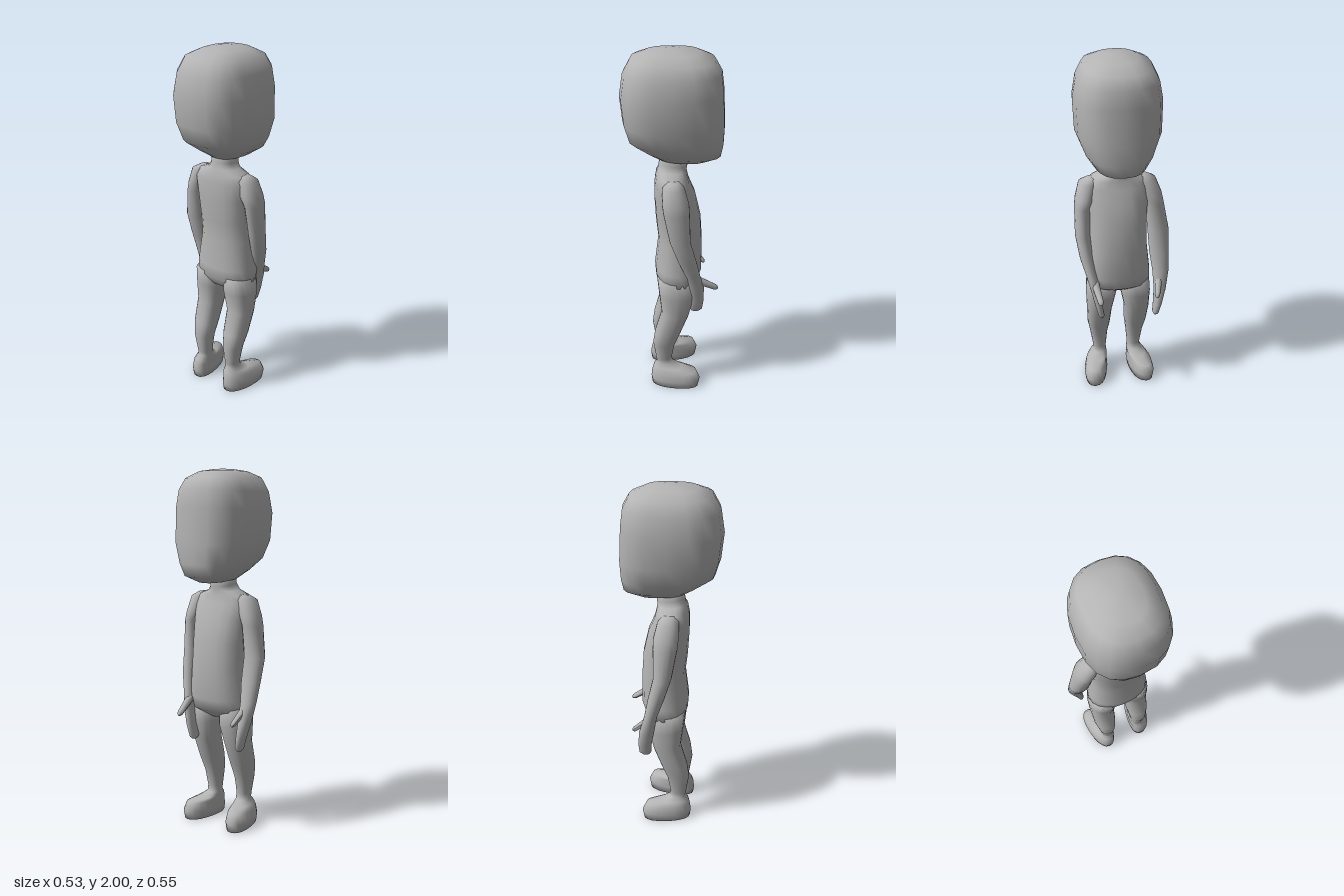
import * as THREE from 'three';

const SIDES = 20;
const CENTRE_X = 0.022;

// Loft through oval rings listed from top to bottom.
// Ring: [centre x, half width, +z edge z, its y, -z edge z, its y, sideways skew per z]
function loft(rings, n = 2.3, side = 1) {
  const pos = [], index = [];
  const bend = v => Math.sign(v) * Math.abs(v) ** (2 / n);
  for (const [cx, hw, zb, yb, zf, yf, skew = 0] of rings) {
    for (let j = 0; j < SIDES; j++) {
      const t = (j / SIDES) * Math.PI * 2;
      const s = bend(Math.sin(t)), k = (s + 1) / 2;
      const z = zf + (zb - zf) * k;
      pos.push(side * (cx + skew * z) + hw * bend(Math.cos(t)), yf + (yb - yf) * k, z);
    }
  }
  for (let i = 0; i < rings.length - 1; i++) {
    for (let j = 0; j < SIDES; j++) {
      const a = i * SIDES + j, b = i * SIDES + (j + 1) % SIDES;
      index.push(a, b, a + SIDES, b, b + SIDES, a + SIDES);
    }
  }
  // End caps
  [0, rings.length - 1].forEach((i, end) => {
    const [cx, , zb, yb, zf, yf, skew = 0] = rings[i];
    const c = pos.length / 3, z = (zb + zf) / 2;
    pos.push(side * (cx + skew * z), (yb + yf) / 2, z);
    for (let j = 0; j < SIDES; j++) {
      const a = i * SIDES + j, b = i * SIDES + (j + 1) % SIDES;
      if (end) index.push(c, a, b); else index.push(c, b, a);
    }
  });
  const g = new THREE.BufferGeometry();
  g.setAttribute('position', new THREE.Float32BufferAttribute(pos, 3));
  g.setIndex(index);
  g.computeVertexNormals();
  return g;
}

// Tapered round finger between two points
function finger(from, to, radius) {
  const a = new THREE.Vector3(...from), b = new THREE.Vector3(...to);
  const dir = b.clone().sub(a), length = dir.length();
  const g = new THREE.CapsuleGeometry(radius, length - radius, 4, 10);
  const p = g.attributes.position;
  for (let i = 0; i < p.count; i++) {
    const k = 1 - 0.35 * (p.getY(i) / length + 0.5);
    p.setX(i, p.getX(i) * k);
    p.setZ(i, p.getZ(i) * k);
  }
  g.computeVertexNormals();
  g.applyQuaternion(new THREE.Quaternion().setFromUnitVectors(new THREE.Vector3(0, 1, 0), dir.normalize()));
  const mid = a.add(b).multiplyScalar(0.5);
  return g.translate(mid.x, mid.y, mid.z);
}

export function createModel() {
  const model = new THREE.Group();
  model.name = 'figure';
  const body = new THREE.MeshStandardMaterial({ color: 0xb4b4b4 });
  body.name = 'plain grey';
  const add = (name, geometry, x = 0) => {
    const mesh = new THREE.Mesh(geometry, body);
    mesh.name = name;
    mesh.position.x = x;
    model.add(mesh);
  };

  // Large rounded head with the jaw towards -z
  add('head', loft([
    [0, 0.04, 0.05, 2.0, -0.05, 2.0],
    [0, 0.11, 0.14, 1.988, -0.14, 1.988],
    [0, 0.178, 0.215, 1.957, -0.22, 1.95],
    [0, 0.212, 0.257, 1.88, -0.254, 1.89],
    [0, 0.231, 0.276, 1.76, -0.266, 1.8],
    [0, 0.226, 0.262, 1.62, -0.276, 1.61],
    [0, 0.186, 0.235, 1.525, -0.272, 1.5],
    [0, 0.14, 0.15, 1.465, -0.26, 1.435],
    [0, 0.08, 0.074, 1.415, -0.18, 1.4],
    [0, 0.05, 0.05, 1.41, -0.09, 1.395],
  ], 2.5), CENTRE_X);

  // Neck, shoulders, belly and hips
  add('torso', loft([
    [0, 0.067, 0.07, 1.45, -0.08, 1.43],
    [0, 0.065, 0.074, 1.39, -0.08, 1.37],
    [0, 0.085, 0.08, 1.355, -0.075, 1.345],
    [0, 0.15, 0.09, 1.328, -0.08, 1.325],
    [0, 0.178, 0.098, 1.28, -0.09, 1.28],
    [0, 0.168, 0.1, 1.19, -0.125, 1.2],
    [0, 0.158, 0.092, 1.05, -0.155, 1.07],
    [0, 0.16, 0.08, 0.94, -0.165, 0.92],
    [0, 0.18, 0.1, 0.77, -0.165, 0.75],
    [0, 0.182, 0.095, 0.7, -0.14, 0.68],
    [0, 0.12, 0.06, 0.645, -0.08, 0.635],
  ]), CENTRE_X);

  // Legs with feet turned slightly out
  for (const side of [1, -1]) {
    add(side > 0 ? 'leftLeg' : 'rightLeg', loft([
      [0.098, 0.082, 0.09, 0.72, -0.12, 0.7],
      [0.1, 0.087, 0.08, 0.62, -0.12, 0.6],
      [0.11, 0.073, 0.066, 0.5, -0.09, 0.48],
      [0.11, 0.066, 0.105, 0.365, -0.045, 0.36],
      [0.108, 0.052, 0.117, 0.28, -0.01, 0.27],
      [0.105, 0.039, 0.1, 0.17, 0.008, 0.17],
      [0.105, 0.039, 0.095, 0.14, 0.0, 0.135],
      [0.118, 0.052, 0.113, 0.12, -0.05, 0.11, -0.1],
      [0.132, 0.062, 0.125, 0.085, -0.135, 0.1, -0.15],
      [0.134, 0.07, 0.13, 0.04, -0.157, 0.05, -0.15],
      [0.134, 0.064, 0.125, 0, -0.148, 0, -0.15],
    ], 2.3, side), CENTRE_X);
  }

  // Arms hang forward; the two are posed a little differently
  const arm = (name, stations) => add(name, loft(
    stations.map(([x, y, z, rx, rz]) => [x, rx, z + rz, y, z - rz, y]), 2.1));
  arm('leftArm', [
    [0.16, 1.33, 0, 0.03, 0.03],
    [0.18, 1.305, 0, 0.055, 0.058],
    [0.2, 1.22, -0.01, 0.056, 0.072],
    [0.218, 1.17, -0.015, 0.044, 0.07],
    [0.222, 1.0, -0.035, 0.042, 0.056],
    [0.208, 0.87, -0.075, 0.036, 0.05],
    [0.182, 0.76, -0.11, 0.03, 0.04],
    [0.168, 0.68, -0.128, 0.024, 0.044],
    [0.15, 0.58, -0.135, 0.02, 0.038],
    [0.136, 0.515, -0.13, 0.017, 0.036],
    [0.133, 0.5, -0.128, 0.009, 0.02],
  ]);
  arm('rightArm', [
    [-0.116, 1.33, 0, 0.03, 0.03],
    [-0.136, 1.305, 0, 0.055, 0.058],
    [-0.168, 1.22, -0.01, 0.056, 0.068],
    [-0.183, 1.17, -0.012, 0.052, 0.066],
    [-0.206, 1.0, -0.025, 0.06, 0.05],
    [-0.208, 0.87, -0.06, 0.056, 0.045],
    [-0.213, 0.76, -0.09, 0.047, 0.036],
    [-0.206, 0.65, -0.115, 0.034, 0.042],
    [-0.192, 0.56, -0.128, 0.025, 0.038],
    [-0.182, 0.5, -0.128, 0.018, 0.034],
    [-0.18, 0.485, -0.125, 0.01, 0.018],
  ]);

  // Thumbs
  add('leftThumb', finger([0.17, 0.735, -0.12], [0.15, 0.665, -0.242], 0.024));
  add('rightThumb', finger([-0.205, 0.73, -0.1], [-0.178, 0.645, -0.19], 0.022));

  return model;
}
